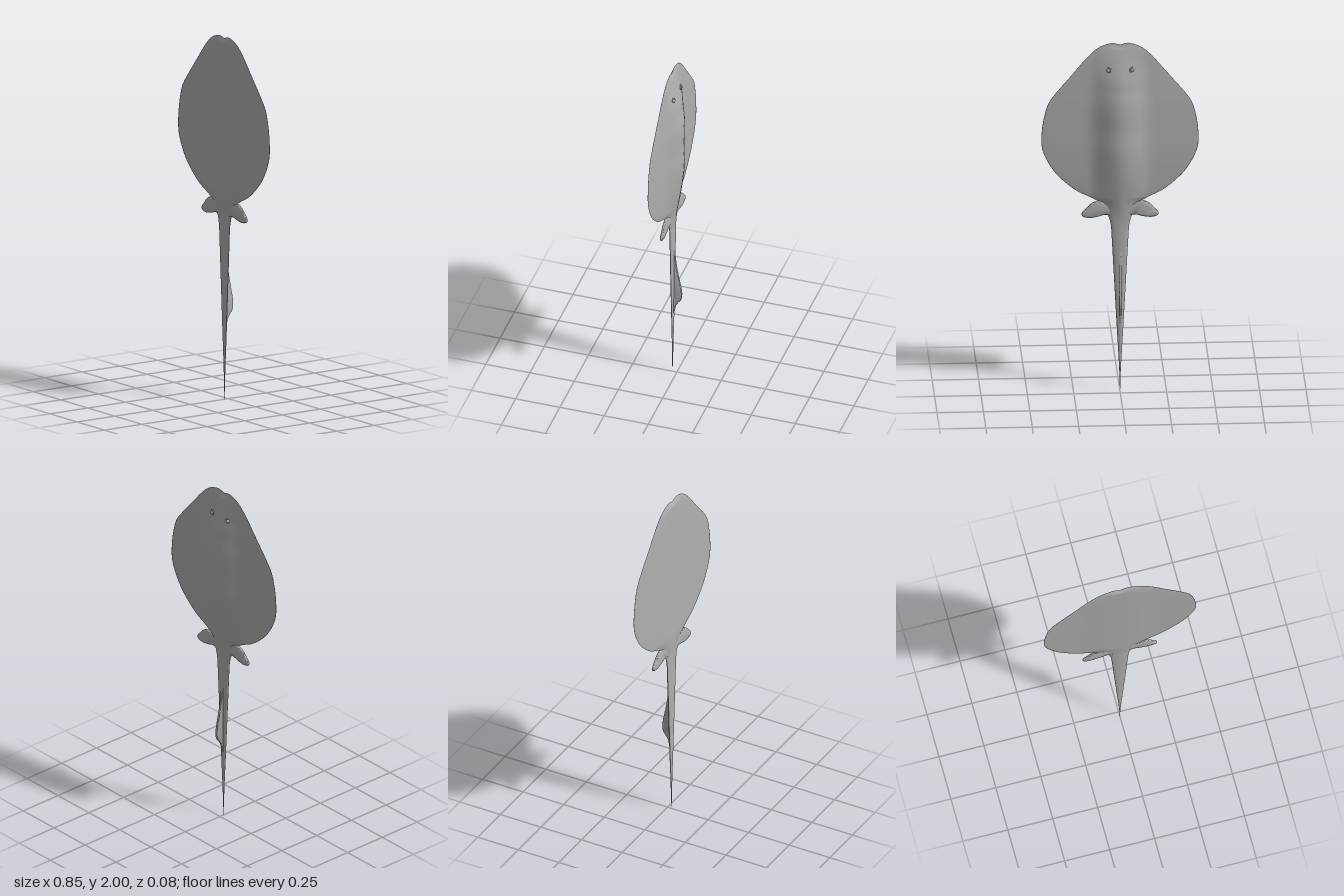
import * as THREE from 'three';
import { toCreasedNormals } from 'three/addons/utils/BufferGeometryUtils.js';

const { smoothstep, lerp } = THREE.MathUtils;

// Half width, height and back depth along the spine, nose to tail tip
const SPINE = [
  [0.045, 2, 0.03], [0.095, 1.985, 0.027], [0.135, 1.96, 0.021], [0.19, 1.905, 0.008],
  [0.235, 1.85, -0.005], [0.285, 1.79, -0.018], [0.335, 1.73, -0.025], [0.385, 1.66, -0.035],
  [0.407, 1.59, -0.037], [0.421, 1.5, -0.035], [0.421, 1.41, -0.037], [0.4, 1.345, -0.034],
  [0.35, 1.262, -0.025], [0.29, 1.2, -0.016], [0.225, 1.15, -0.008], [0.165, 1.12, -0.003],
  [0.115, 1.09, 0.001], [0.082, 1.05, 0.006], [0.06, 1.0, 0.011], [0.05, 0.96, 0.013],
  [0.044, 0.87, 0.013], [0.036, 0.72, 0.014], [0.026, 0.53, 0.015], [0.017, 0.36, 0.017],
  [0.008, 0.2, 0.02], [0.003, 0.09, 0.022], [0.0008, 0, 0.025],
].map((p) => new THREE.Vector3(...p));

// Depth of the skin at x on a section: flat wing, central dome and rounded rim
function skinDepth(x, row, back) {
  const { x: w, y, z: zBack } = row;
  const tail = 1 - smoothstep(y, 0.98, 1.12);
  const nose = Math.min(1, (2 - y) / 0.03);
  const rim = lerp(0.028, 0.025, tail);
  const t = Math.min(1, Math.abs(x) / w);
  const dome = (s) => Math.pow(Math.max(0, 1 - (x / Math.min(s, w)) ** 2), lerp(1.5, 0.5, tail));
  const edge = 0.003 * Math.sqrt(1 - t * t) * nose * (1 - tail);
  if (back) {
    const wing = 0.3 * (1 - tail);
    return rim - edge - (rim - zBack) * nose * (wing * (1 - t) + (1 - wing) * dome(0.155));
  }
  const belly = lerp(0.009, 0.008 * smoothstep(y, -0.3, 0.9), tail);
  return rim + edge + belly * nose * dome(0.22);
}

// Body and tail lofted as one closed skin
function bodyGeometry() {
  const curve = new THREE.CatmullRomCurve3(SPINE);
  const rows = (SPINE.length - 1) * 4, ring = 72;
  const pos = [], index = [];
  for (let i = 0; i <= rows; i++) {
    const row = curve.getPoint(i / rows);
    row.y = Math.min(2, Math.max(0, row.y));
    for (let j = 0; j < ring; j++) {
      const a = (j / ring) * Math.PI * 2;
      const x = row.x * Math.cos(a);
      const notch = 0.009 * Math.exp(-((x / 0.025) ** 2)) * Math.max(0, 1 - (2 - row.y) / 0.08);
      pos.push(x, row.y - notch, skinDepth(x, row, j < ring / 2));
      if (i < rows) {
        const p = i * ring + j, q = i * ring + ((j + 1) % ring);
        index.push(p, p + ring, q, q, p + ring, q + ring);
      }
    }
  }
  const g = new THREE.BufferGeometry();
  g.setAttribute('position', new THREE.Float32BufferAttribute(pos, 3));
  g.setIndex(index);
  g.computeVertexNormals();
  return g;
}

// Thin fin with a rounded rim, centred on its own mid plane
function finGeometry(points, thickness, inset) {
  const shape = new THREE.Shape();
  shape.moveTo(...points[0]);
  shape.splineThru(points.slice(1).map((p) => new THREE.Vector2(...p)));
  const g = new THREE.ExtrudeGeometry(shape, {
    depth: thickness * 0.2, bevelThickness: thickness * 0.4, bevelSize: inset,
    bevelOffset: -inset, bevelSegments: 5, curveSegments: 30,
  });
  g.translate(0, 0, -thickness * 0.1);
  return toCreasedNormals(g, 0.9);
}

export function createModel() {
  const model = new THREE.Group();
  model.name = 'ray';
  const skin = new THREE.MeshStandardMaterial({ color: 0xb0b0b0 });
  skin.name = 'grey skin';

  const add = (name, geometry, parent = model) => {
    const mesh = new THREE.Mesh(geometry, skin);
    mesh.name = name;
    parent.add(mesh);
    return mesh;
  };

  add('bodyAndTail', bodyGeometry());

  // Pelvic fins either side of the tail root
  const pelvic = [
    [0.03, 1.06], [0.08, 1.085], [0.12, 1.096], [0.155, 1.082], [0.185, 1.052],
    [0.206, 1.028], [0.2, 1.008], [0.165, 1.0], [0.12, 1.006], [0.08, 1.016], [0.03, 1.01],
  ];
  for (const side of [1, -1]) {
    const outline = pelvic.map(([x, y]) => [x * side, y]);
    const fin = add(side > 0 ? 'leftPelvicFin' : 'rightPelvicFin', finGeometry(outline, 0.016, 0.011));
    fin.position.z = 0.024;
  }

  // Upright fin on the back of the tail
  const tailFin = finGeometry([
    [0.02, 0.86], [0.012, 0.8], [0, 0.7], [-0.012, 0.63], [-0.026, 0.56], [-0.029, 0.52],
    [-0.025, 0.49], [-0.008, 0.465], [0.006, 0.44], [0.014, 0.4], [0.02, 0.4],
  ], 0.014, 0.003);
  add('tailFin', tailFin.rotateY(-Math.PI / 2));

  // Eyes with lids, and the breathing openings behind them
  const brow = new THREE.Vector3(0.24, 1.85, -0.005);
  for (const side of [1, -1]) {
    const eye = new THREE.Group();
    eye.name = side > 0 ? 'leftEye' : 'rightEye';
    eye.position.set(0.064 * side, 1.853, skinDepth(0.064, brow, true));
    eye.rotation.y = -0.35 * side;
    model.add(eye);
    add('eyeball', new THREE.SphereGeometry(0.01, 20, 14), eye).position.z = -0.002;
    const lid = add('eyelid', new THREE.TorusGeometry(0.012, 0.004, 8, 20, Math.PI * 1.2), eye);
    lid.rotation.z = side > 0 ? Math.PI * 0.4 : -Math.PI * 0.6;
    const opening = add('spiracleRim', new THREE.TorusGeometry(0.009, 0.0035, 8, 20), eye);
    opening.position.set(0.012 * side, -0.024, 0);
    opening.scale.y = 0.8;
  }
  return model;
}
